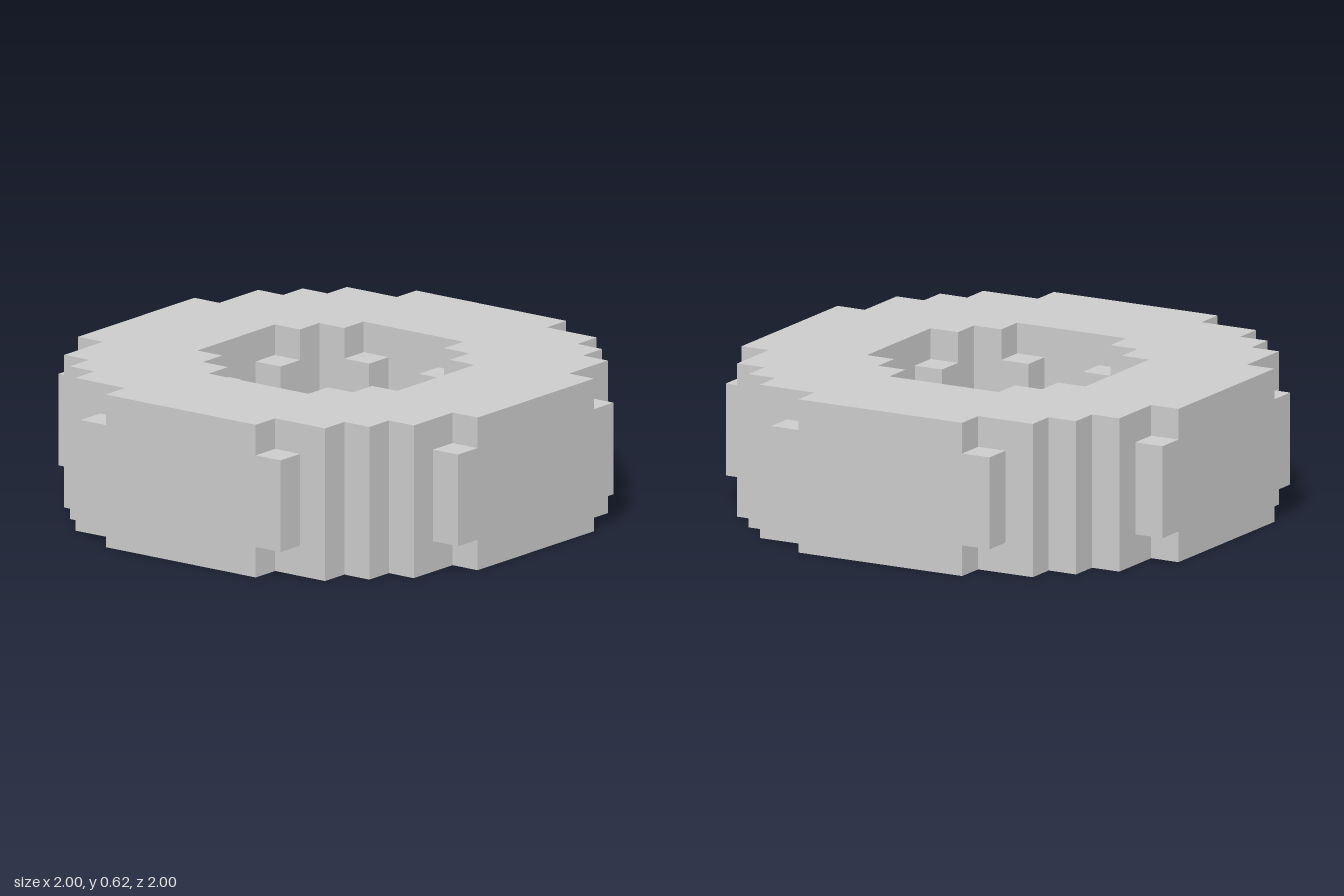
import * as THREE from 'three';

const U = 0.125; // one block
const LAYERS = 5;

// Mirrors a quarter outline (from the +x side to the +y side) into a closed loop.
function fullOutline(quarter) {
  const mirrored = [...quarter].reverse();
  return [
    ...quarter,
    ...mirrored.map(([x, y]) => [-x, y]),
    ...quarter.map(([x, y]) => [-x, -y]),
    ...mirrored.map(([x, y]) => [x, -y]),
  ].map(([x, y]) => new THREE.Vector2(x * U, y * U));
}

export function createModel() {
  const group = new THREE.Group();
  group.name = 'blockRing';
  const material = new THREE.MeshStandardMaterial({ color: 0xcccccc, flatShading: true });

  // Stepped ring, full height
  const outer = [[8, 3], [7, 3], [7, 5], [6, 5], [6, 6], [5, 6], [5, 7], [3, 7], [3, 8]];
  const inner = [[4, 2], [3, 2], [3, 3], [2, 3], [2, 4]];
  const shape = new THREE.Shape(fullOutline(outer));
  shape.holes.push(new THREE.Path(fullOutline(inner)));
  const ringGeometry = new THREE.ExtrudeGeometry(shape, { depth: LAYERS * U, bevelEnabled: false });
  ringGeometry.rotateX(-Math.PI / 2);
  const ring = new THREE.Mesh(ringGeometry, material);
  ring.name = 'ring';
  group.add(ring);

  // Short pillars in the step corners, one block clear of top and bottom
  const pillarGeometry = new THREE.BoxGeometry(U, (LAYERS - 2) * U, U);
  function addPillars(name, a, b) {
    const set = new THREE.Group();
    set.name = name;
    for (const [x, z] of [[a, b], [b, a]]) {
      for (const sx of [-1, 1]) {
        for (const sz of [-1, 1]) {
          const pillar = new THREE.Mesh(pillarGeometry, material);
          pillar.name = name.slice(0, -1);
          pillar.position.set(sx * x * U, LAYERS * U / 2, sz * z * U);
          set.add(pillar);
        }
      }
    }
    group.add(set);
  }
  addPillars('outerPillars', 7.5, 3.5);
  addPillars('innerPillars', 3.5, 1.5);

  return group;
}
